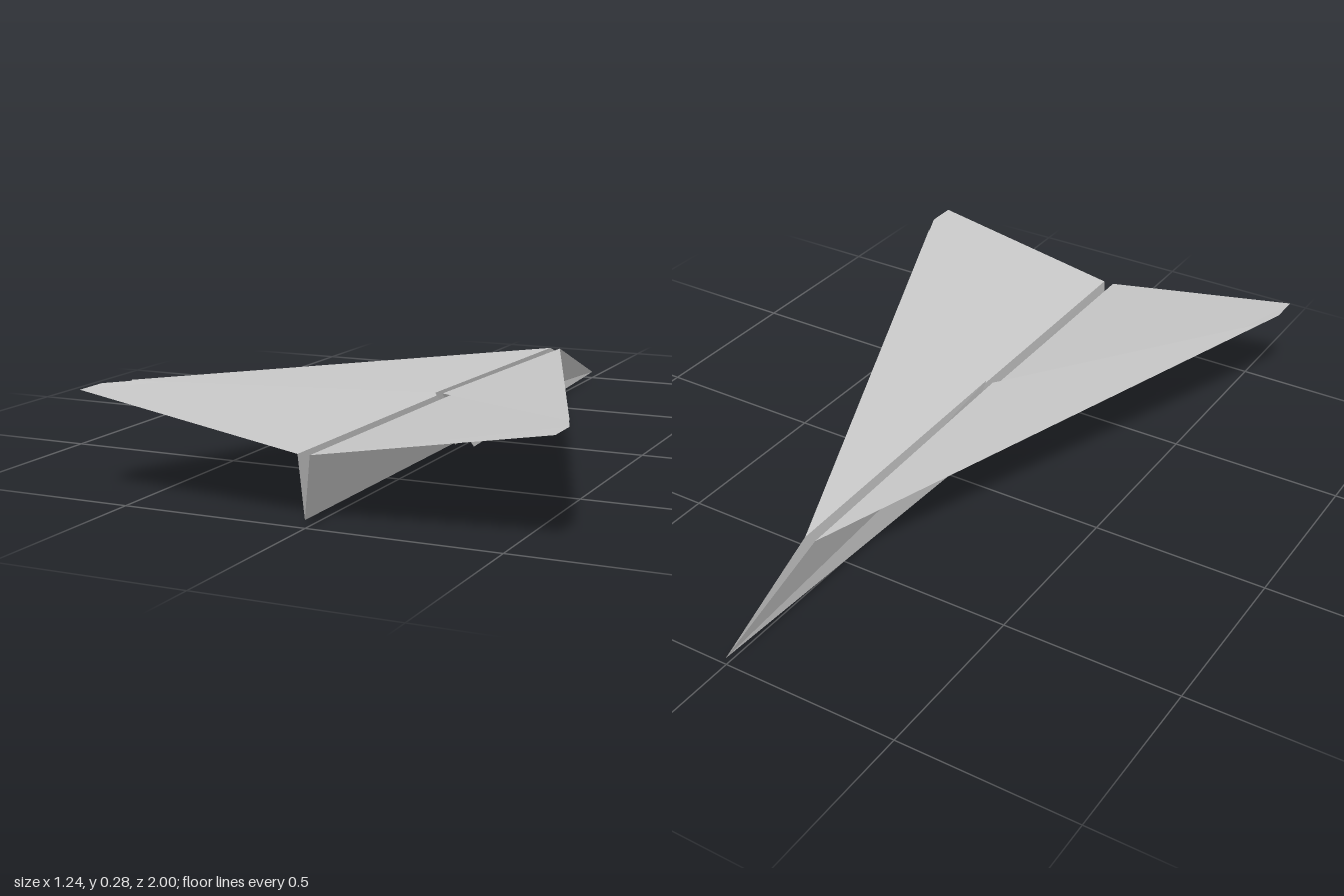
import * as THREE from 'three';

// Flat convex sheet from its corner points
function sheet(name, points, material) {
  const index = [];
  for (let i = 1; i < points.length - 1; i++) index.push(0, i, i + 1);
  const geometry = new THREE.BufferGeometry();
  geometry.setAttribute('position', new THREE.Float32BufferAttribute(points.flat(), 3));
  geometry.setIndex(index);
  const flat = geometry.toNonIndexed();
  flat.computeVertexNormals();
  const mesh = new THREE.Mesh(flat, material);
  mesh.name = name;
  return mesh;
}

export function createModel() {
  const paper = new THREE.MeshStandardMaterial({ color: 0xcccccc, side: THREE.DoubleSide, flatShading: true });
  paper.name = 'paper';

  const plane = new THREE.Group();
  plane.name = 'paperPlane';

  for (const [side, s, flare] of [['left', 1, 0.034], ['right', -1, 0.024]]) {
    const add = (part, points) => {
      // mirror across x, reversing the corner order to keep faces outward
      const p = points.map(([x, y, z]) => [x * s, y, z]);
      plane.add(sheet(side + part, s > 0 ? p : p.reverse(), paper));
    };
    const nose = [0, 0.02, -1];
    const rootFront = [0.016, 0.16, -0.64];
    const rootRear = [0.016, 0.177, 1];

    // keel wall, rising from the bottom crease to the wing root
    add('Keel', [nose, rootFront, rootRear, [0, 0.02, 1]]);

    // main wing, slightly raised to the tip
    add('Wing', [rootFront, [0.62, 0.28, 0.91], [0.62, 0.28, 1], rootRear].reverse());

    // upper paper layer folded over the wing, with a diagonal rear edge
    add('WingFold', [rootFront, [0.011, 0.181, 0.25], [0.594, 0.277, 0.84]]);

    // inner layer of the fold running down into the groove
    add('InnerFold', [[0, 0.022, -0.99], rootFront, [0.011, 0.181, 0.25], [0.001, 0.03, 0.1]]);

    // loose folded corner flaring out of the keel
    add('KeelFlap', [nose, [0.011, 0.1, 0], [0.011, 0.1, 0.17], [flare, 0.0, 0.09]]);
  }
  return plane;
}
